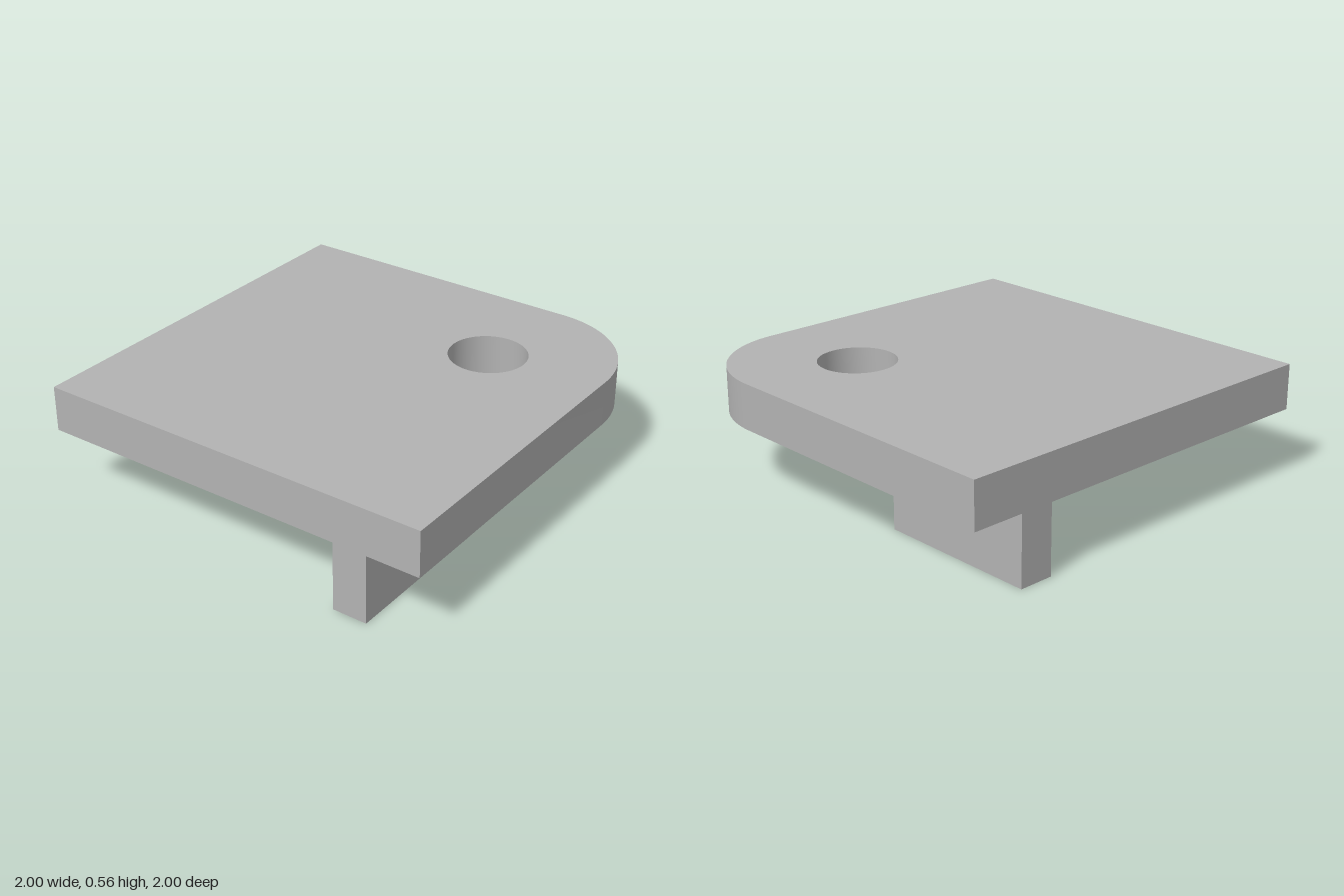
import * as THREE from 'three';
import { toCreasedNormals } from 'three/addons/utils/BufferGeometryUtils.js';

const TOP = 0.56, UNDER = 0.337;

// Extrude a plan outline (x, -z) upward from y0 to y1, smooth on curves and sharp at edges
function slab(shape, y0, y1) {
  const geo = new THREE.ExtrudeGeometry(shape, { depth: y1 - y0, bevelEnabled: false, curveSegments: 32 });
  geo.rotateX(-Math.PI / 2);
  geo.translate(0, y0, 0);
  return toCreasedNormals(geo, 0.5);
}

// Rail outline: straight sides, inner end cut by a circle about (0.8, 0.8)
function railPoints() {
  const inner = 0.57, outer = 0.74, c = 0.8, r = 1.003, n = 8;
  const pts = [[inner, -1], [outer, -1]];
  for (let i = 0; i <= n; i++) {
    const x = outer + (inner - outer) * i / n;
    pts.push([x, c - Math.sqrt(r * r - (x - c) ** 2)]);
  }
  return pts;
}

export function createModel() {
  const group = new THREE.Group();
  const grey = new THREE.MeshStandardMaterial({ color: 0xb3b3b3 });
  grey.name = 'grey';
  const add = (name, geo) => {
    const mesh = new THREE.Mesh(geo, grey);
    mesh.name = name;
    group.add(mesh);
  };

  // Plate with one rounded corner and a round through hole
  const R = 0.5;
  const plate = new THREE.Shape();
  plate.moveTo(-1, -1);
  plate.lineTo(1, -1);
  plate.lineTo(1, 1 - R);
  plate.absarc(1 - R, 1 - R, R, 0, Math.PI / 2, false);
  plate.lineTo(-1, 1);
  plate.closePath();
  const hole = new THREE.Path();
  hole.absarc(0.42, 0.425, 0.19, 0, Math.PI * 2, true);
  plate.holes.push(hole);
  add('plate', slab(plate, UNDER, TOP));

  // Two rails below, mirrored across the plate's diagonal
  const pts = railPoints();
  const outline = (swap) => new THREE.Shape(pts.map(([x, s]) => swap ? new THREE.Vector2(s, x) : new THREE.Vector2(x, s)));
  add('frontRail', slab(outline(false), 0, UNDER));
  add('sideRail', slab(outline(true), 0, UNDER));

  return group;
}
